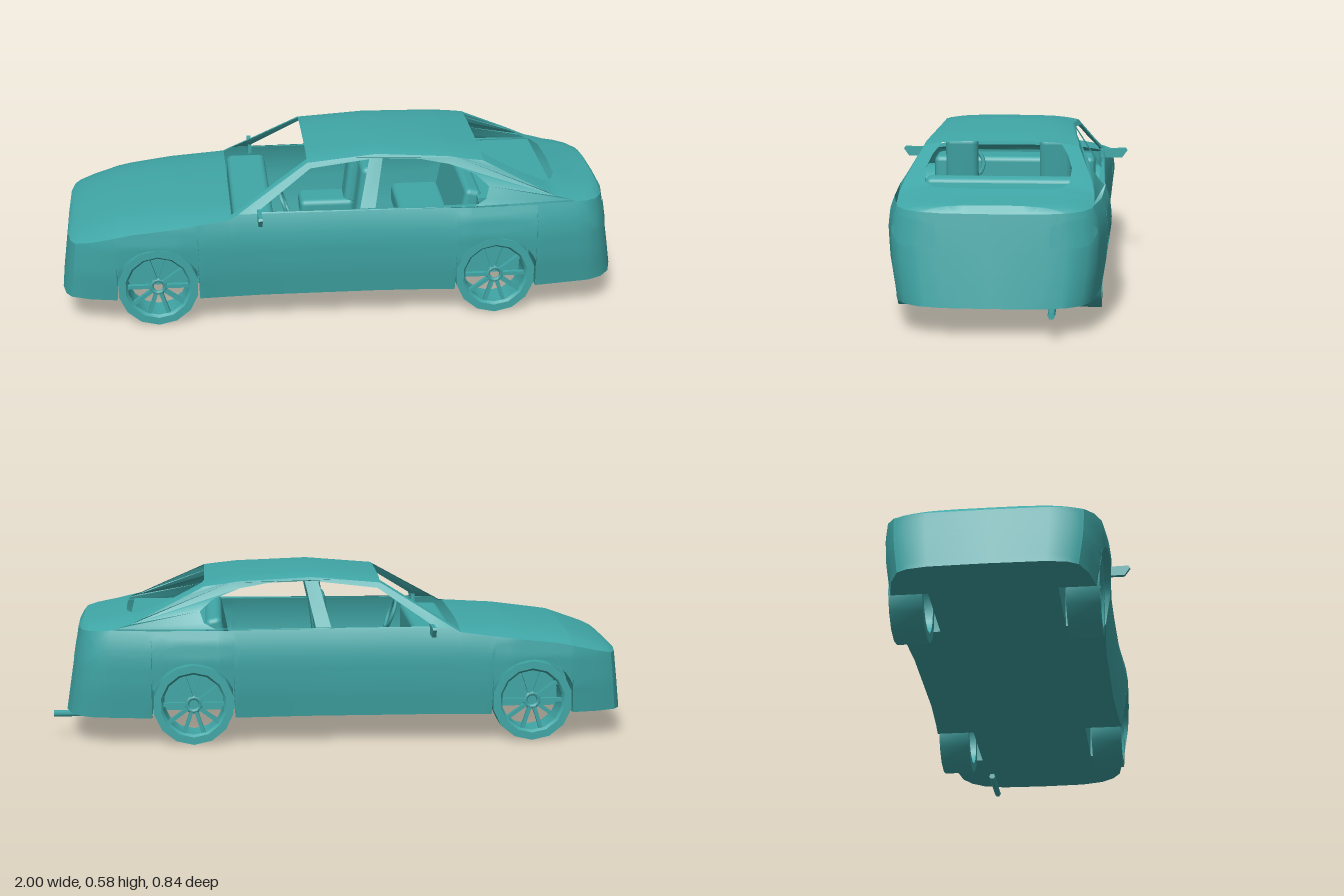
import * as THREE from 'three';
import { toCreasedNormals, mergeGeometries } from 'three/addons/utils/BufferGeometryUtils.js';
import { RoundedBoxGeometry } from 'three/addons/geometries/RoundedBoxGeometry.js';

const FLOOR = 0.095, ARCH = 0.15, WHEEL_Y = 0.14, WHEELS = [-0.665, 0.51], WELL_Z = 0.21;
const ARCH_DX = Math.sqrt(ARCH ** 2 - (WHEEL_Y - FLOOR) ** 2);

// Key lines of the body along x: half width, side edge of the top, centre of the top
const WIDTH = [[-1, 0], [-0.997, 0.2], [-0.985, 0.27], [-0.965, 0.305], [-0.9, 0.335], [-0.8, 0.355], [-0.6, 0.37],
  [-0.42, 0.358], [-0.3, 0.352], [0.1, 0.352], [0.27, 0.36], [0.42, 0.371], [0.65, 0.362], [0.85, 0.33],
  [0.9, 0.3], [0.935, 0.25], [0.955, 0.17], [0.96, 0]];
const EDGE = [[-1, 0.3], [-0.97, 0.3], [-0.75, 0.345], [-0.41, 0.385], [-0.14, 0.545], [0.1, 0.565], [0.35, 0.555],
  [0.47, 0.54], [0.72, 0.42], [0.8, 0.4], [0.96, 0.39]];
const CENTRE = [[-1, 0.3], [-0.985, 0.315], [-0.95, 0.33], [-0.8, 0.375], [-0.6, 0.4], [-0.41, 0.408], [-0.14, 0.56],
  [0.1, 0.582], [0.35, 0.57], [0.47, 0.555], [0.7, 0.45], [0.85, 0.425], [0.94, 0.415], [0.96, 0.39]];
const SECTION = [[0.095, 0.94], [0.2, 0.985], [0.3, 1], [0.36, 0.98], [0.4, 0.94]];
const REAR_GLASS = [[0.47, 0.2], [0.53, 0.225], [0.6, 0.24], [0.68, 0.235], [0.72, 0.205], [0.74, 0.15], [0.745, 0]];

function table(t, x) {
  if (x <= t[0][0]) return t[0][1];
  for (let i = 1; i < t.length; i++) {
    if (x <= t[i][0]) {
      const [a, b] = [t[i - 1], t[i]];
      return a[1] + (b[1] - a[1]) * (x - a[0]) / (b[0] - a[0]);
    }
  }
  return t[t.length - 1][1];
}

const clamp = THREE.MathUtils.clamp;
const width = x => table(WIDTH, x), edge = x => table(EDGE, x), centre = x => table(CENTRE, x);
const belt = x => Math.min(edge(x), 0.4);
const sideZ = (x, y) => width(x) * table(SECTION, y) - Math.max(0, y - 0.4) * 0.62;

// Bottom of the body side, raised over the wheels
function sill(x) {
  for (const c of WHEELS) {
    const d = Math.abs(x - c);
    if (d < ARCH_DX) return WHEEL_Y + Math.sqrt(ARCH ** 2 - d * d);
  }
  return FLOOR;
}

// Lean the nose and tail inwards with height
function place(x, y, z) {
  const h = y - FLOOR;
  const nose = clamp((-0.8 - x) / 0.2, 0, 1), tail = clamp((x - 0.75) / 0.21, 0, 1);
  return [x + nose * h * 0.13 - tail * h * 0.16, y, z];
}

const archXs = c => Array.from({ length: 15 }, (_, i) => c - ARCH_DX * Math.cos(Math.PI * i / 14));
const STATIONS = [...new Set([
  ...[WIDTH, EDGE, CENTRE, REAR_GLASS].flatMap(t => t.map(p => p[0])),
  ...WHEELS.flatMap(archXs), -0.385, -0.5, -0.2, 0, 0.2, 0.78
].map(v => +v.toFixed(4)))].sort((a, b) => a - b);
const between = (a, b) => STATIONS.filter(x => x >= a - 1e-6 && x <= b + 1e-6);

// Skin through rows of points
function skin(rows) {
  const n = rows[0].length, index = [];
  for (let i = 0; i < rows.length - 1; i++) {
    for (let j = 0; j < n - 1; j++) {
      const a = i * n + j;
      index.push(a, a + n, a + 1, a + 1, a + n, a + n + 1);
    }
  }
  const g = new THREE.BufferGeometry();
  g.setAttribute('position', new THREE.Float32BufferAttribute(rows.flat(2), 3));
  g.setIndex(index);
  return toCreasedNormals(g, 0.6);
}

export function createModel() {
  const car = new THREE.Group();
  car.name = 'car';
  const paint = new THREE.MeshStandardMaterial({ color: 0x40a6a6, side: THREE.DoubleSide });
  function add(name, geometry, x = 0, y = 0, z = 0, parent = car) {
    const m = new THREE.Mesh(geometry, paint);
    m.name = name;
    m.position.set(x, y, z);
    parent.add(m);
    return m;
  }

  // Top panels run from the side edge inwards to an opening or the centreline
  function topPanel(name, x0, x1, inner) {
    for (const s of [1, -1]) {
      add(name, skin(between(x0, x1).map(x => {
        const e = sideZ(x, edge(x)), i = Math.min(inner(x, e), e);
        return [0, 0.05, 0.12, 0.22, 0.35, 0.6, 1].map(u => {
          const z = e + (i - e) * u, k = e > 0 ? z / e : 0;
          return place(x, edge(x) + (centre(x) - edge(x)) * (1 - k ** 4), s * z);
        });
      })));
    }
  }
  topPanel('bonnet', -1, -0.41, () => 0);
  topPanel('windscreenPillar', -0.41, -0.14, (x, e) => e - 0.025);
  topPanel('roof', -0.14, 0.47, () => 0);
  topPanel('rearPillar', 0.47, 0.745, x => table(REAR_GLASS, x));
  topPanel('bootLid', 0.745, 0.96, () => 0);

  // Window openings in the cabin side
  const windows = [
    [[-0.32, 0.404], [-0.13, 0.528], [0.075, 0.55], [0.035, 0.404]],
    [[0.088, 0.404], [0.122, 0.552], [0.25, 0.548], [0.35, 0.532], [0.44, 0.5], [0.485, 0.462], [0.472, 0.425], [0.43, 0.404]]
  ];

  for (const s of [1, -1]) {
    // Body side with wheel arches
    add('bodySide', skin(STATIONS.map(x => Array.from({ length: 10 }, (_, j) => {
      const y = sill(x) + (belt(x) - sill(x)) * j / 9;
      return place(x, y, s * sideZ(x, y));
    }))));

    // Cabin side above the belt line
    const xs = between(-0.385, 0.8);
    const outline = [...xs.map(x => [x, belt(x)]), ...xs.slice(1, -1).reverse().map(x => [x, edge(x)])];
    const v2 = list => list.map(p => new THREE.Vector2(...p));
    const shape = new THREE.Shape(v2(outline));
    shape.holes = windows.map(w => new THREE.Path(v2(w)));
    const cabin = new THREE.ShapeGeometry(shape);
    const pos = cabin.attributes.position;
    for (let i = 0; i < pos.count; i++) {
      const x = pos.getX(i), y = pos.getY(i);
      pos.setXYZ(i, ...place(x, y, s * sideZ(x, y)));
    }
    add('cabinSide', toCreasedNormals(cabin, 0.6));

    // Wheel wells
    for (const c of WHEELS) {
      const rim = archXs(c).map(x => [x, clamp(sill(x), FLOOR, 1)]);
      add('wheelWell', skin(rim.map(([x, y]) =>
        [[x, y, s * sideZ(x, y)], [x, y, s * WELL_Z], [x, FLOOR, s * WELL_Z]])));
    }

    // Tail lamp following the curve of the tail
    const lower = [[0.18, 0.285], [0.28, 0.283], [0.312, 0.29], [0.328, 0.32]];
    const upper = [[0.18, 0.35], [0.235, 0.368], [0.3, 0.37], [0.328, 0.33]];
    const tail = WIDTH.slice(-6).map(([x, w]) => [w, x]).reverse();
    add('tailLamp', skin([0.18, 0.21, 0.235, 0.26, 0.28, 0.3, 0.312, 0.328].map(z => [0, 0.5, 1].map(t => {
      const y = table(lower, z) * (1 - t) + table(upper, z) * t;
      const p = place(table(tail, z / table(SECTION, y)), y, s * (z + 0.002));
      return [p[0] + 0.003, p[1], p[2]];
    }))));

    // Door mirror
    const mirror = new THREE.ExtrudeGeometry(new THREE.Shape(v2(
      [[0.32, 0.378], [0.4, 0.378], [0.42, 0.406], [0.414, 0.414], [0.32, 0.412]])), { depth: 0.014, bevelEnabled: false });
    mirror.rotateY(-Math.PI / 2);
    add('doorMirror', mirror, -0.305).scale.z = s;

    // Front seats
    const seat = new THREE.Group();
    seat.name = 'frontSeat';
    car.add(seat);
    add('seatBack', new RoundedBoxGeometry(0.05, 0.27, 0.115, 3, 0.022), 0.06, 0.376, s * 0.167, seat).rotation.z = -0.12;
    add('seatCushion', new RoundedBoxGeometry(0.2, 0.07, 0.13, 3, 0.02), -0.04, 0.23, s * 0.167, seat);
  }

  // Floor pan, notched at the wheels
  const edgeLine = [];
  for (const x of STATIONS) {
    const c = WHEELS.find(w => Math.abs(x - w) <= ARCH_DX + 1e-3);
    const outer = sideZ(x, FLOOR);
    if (c === undefined) edgeLine.push([x, outer]);
    else if (x - c < -ARCH_DX + 1e-3) edgeLine.push([x, outer], [x, WELL_Z]);
    else if (x - c > ARCH_DX - 1e-3) edgeLine.push([x, WELL_Z], [x, outer]);
  }
  add('floorPan', skin(edgeLine.map(([x, z]) => [place(x, FLOOR, -z), place(x, FLOOR, z)])));

  // Interior
  add('dashboard', new RoundedBoxGeometry(0.14, 0.1, 0.6, 2, 0.02), -0.33, 0.335, 0);
  const steering = add('steeringWheel', new THREE.TorusGeometry(0.055, 0.007, 6, 20), -0.215, 0.365, 0.167);
  steering.rotation.set(0, Math.PI / 2, 0.35, 'ZYX');
  add('rearBench', new RoundedBoxGeometry(0.18, 0.08, 0.52, 2, 0.02), 0.3, 0.23, 0);
  add('rearBackrest', new RoundedBoxGeometry(0.06, 0.22, 0.52, 2, 0.02), 0.42, 0.32, 0).rotation.z = -0.2;
  add('parcelShelf', new THREE.BoxGeometry(0.28, 0.012, 0.58), 0.59, 0.405, 0);

  // Exhaust pipe
  add('exhaust', new THREE.CylinderGeometry(0.012, 0.012, 0.2, 6).rotateZ(Math.PI / 2), 0.9, 0.085, -0.19);

  // Wheels with ten spokes
  const V = (r, h) => new THREE.Vector2(r, h);
  const tyre = toCreasedNormals(new THREE.LatheGeometry(
    [V(0.106, -0.055), V(0.14, -0.055), V(0.14, 0.055), V(0.114, 0.055), V(0.106, 0.045), V(0.106, -0.055)], 14)
    .rotateX(Math.PI / 2), 0.6);
  const spokes = mergeGeometries(Array.from({ length: 10 }, (_, i) =>
    new THREE.BoxGeometry(0.088, 0.013, 0.016).translate(0.064, 0, 0.038).rotateZ(i * Math.PI / 5)));
  const hub = new THREE.TorusGeometry(0.024, 0.008, 6, 12);
  for (const s of [1, -1]) {
    for (const c of WHEELS) {
      const wheel = new THREE.Group();
      wheel.name = 'wheel';
      wheel.position.set(c, WHEEL_Y, s * 0.286);
      if (s < 0) wheel.rotation.y = Math.PI;
      add('tyre', tyre, 0, 0, 0, wheel);
      add('spokes', spokes, 0, 0, 0, wheel);
      add('hub', hub, 0, 0, 0.04, wheel);
      car.add(wheel);
    }
  }
  return car;
}
